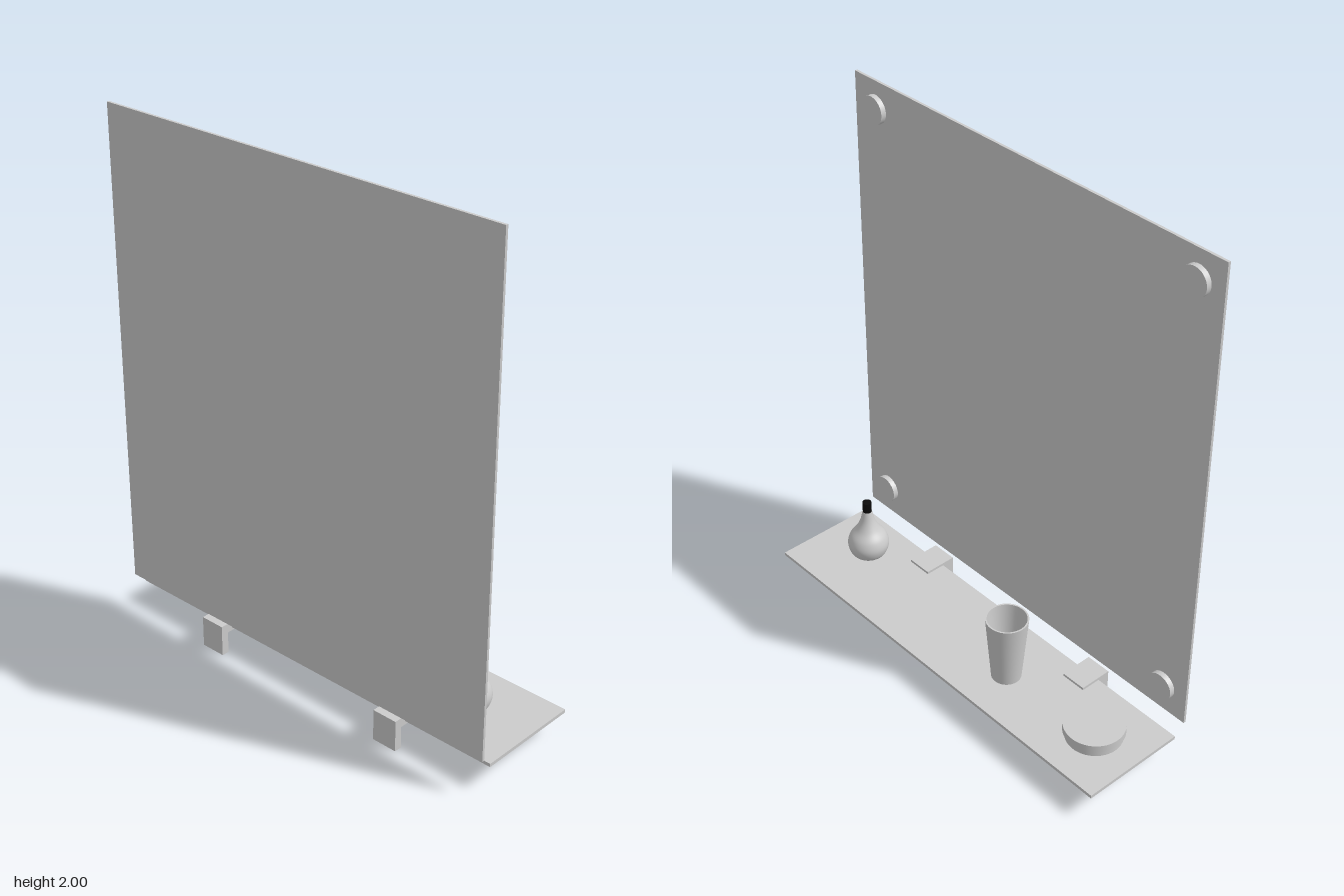
import * as THREE from 'three';

const grey = new THREE.MeshStandardMaterial({ color: 0xcccccc });
const greyDouble = new THREE.MeshStandardMaterial({ color: 0xcccccc, side: THREE.DoubleSide });
const black = new THREE.MeshStandardMaterial({ color: 0x0a0a0a });

function add(parent, name, geometry, x, y, z, material = grey) {
  const mesh = new THREE.Mesh(geometry, material);
  mesh.name = name;
  mesh.position.set(x, y, z);
  parent.add(mesh);
  return mesh;
}

// Box given by its lower and upper limits on each axis
function box(parent, name, [x0, x1], [y0, y1], [z0, z1]) {
  return add(parent, name, new THREE.BoxGeometry(x1 - x0, y1 - y0, z1 - z0),
    (x0 + x1) / 2, (y0 + y1) / 2, (z0 + z1) / 2);
}

const points = (list) => list.map(([r, y]) => new THREE.Vector2(r, y));

export function createModel() {
  const model = new THREE.Group();
  model.name = 'mirrorWithShelf';

  // Mirror panel and its four round fixings
  box(model, 'mirrorPanel', [-0.23, -0.22], [0.15, 2], [-0.845, 0.845]);
  for (const y of [0.26, 1.895]) {
    for (const z of [-0.738, 0.738]) {
      const disc = add(model, 'mirrorFixing', new THREE.CylinderGeometry(0.053, 0.053, 0.02, 48), -0.21, y, z);
      disc.rotation.z = -Math.PI / 2;
    }
  }

  // Shelf board
  box(model, 'shelf', [-0.18, 0.228], [0.099, 0.112], [-0.845, 0.84]);

  // Two brackets: wall plate with jaws above and below the board
  for (const z of [-0.422, 0.422]) {
    const bracket = new THREE.Group();
    bracket.name = 'shelfBracket';
    const width = [z - 0.05, z + 0.05];
    box(bracket, 'bracketPlate', [-0.23, -0.2], [0, 0.122], width);
    box(bracket, 'bracketUpperJaw', [-0.2, -0.102], [0.112, 0.122], width);
    box(bracket, 'bracketLowerJaw', [-0.2, -0.102], [0.085, 0.099], width);
    box(bracket, 'bracketWeb', [-0.2, -0.18], [0.099, 0.112], width);
    model.add(bracket);
  }

  // Bottle with a rounded belly, narrow neck and black cap
  const belly = new THREE.SplineCurve(points([
    [0.045, 0.127], [0.068, 0.148], [0.079, 0.185], [0.07, 0.222],
    [0.045, 0.258], [0.028, 0.295], [0.018, 0.338],
  ])).getPoints(36);
  const bottle = new THREE.Group();
  bottle.name = 'bottle';
  bottle.position.set(-0.003, 0, 0.605);
  add(bottle, 'bottleBody', new THREE.LatheGeometry(belly, 48), 0, 0, 0, greyDouble);
  const base = add(bottle, 'bottleBase', new THREE.CircleGeometry(0.045, 48), 0, 0.127, 0);
  base.rotation.x = Math.PI / 2;
  add(bottle, 'bottleCap', new THREE.CylinderGeometry(0.017, 0.017, 0.045, 24), 0, 0.357, 0, black);
  model.add(bottle);

  // Open tumbler; corner points are doubled to keep the rim and base crisp
  const tumbler = points([
    [0, 0.112], [0.055, 0.112], [0.055, 0.1121], [0.078, 0.381], [0.078, 0.3811],
    [0.072, 0.3811], [0.072, 0.381], [0.05, 0.1241], [0.05, 0.124], [0, 0.124],
  ]);
  add(model, 'tumbler', new THREE.LatheGeometry(tumbler, 48), 0.045, 0, -0.23, greyDouble);

  // Round box with a slightly wider lid
  const roundBox = new THREE.Group();
  roundBox.name = 'roundBox';
  roundBox.position.set(0.02, 0, -0.65);
  add(roundBox, 'roundBoxBase', new THREE.CylinderGeometry(0.104, 0.104, 0.026, 64), 0, 0.125, 0);
  add(roundBox, 'roundBoxLid', new THREE.CylinderGeometry(0.111, 0.111, 0.03, 64), 0, 0.151, 0);
  model.add(roundBox);

  return model;
}
